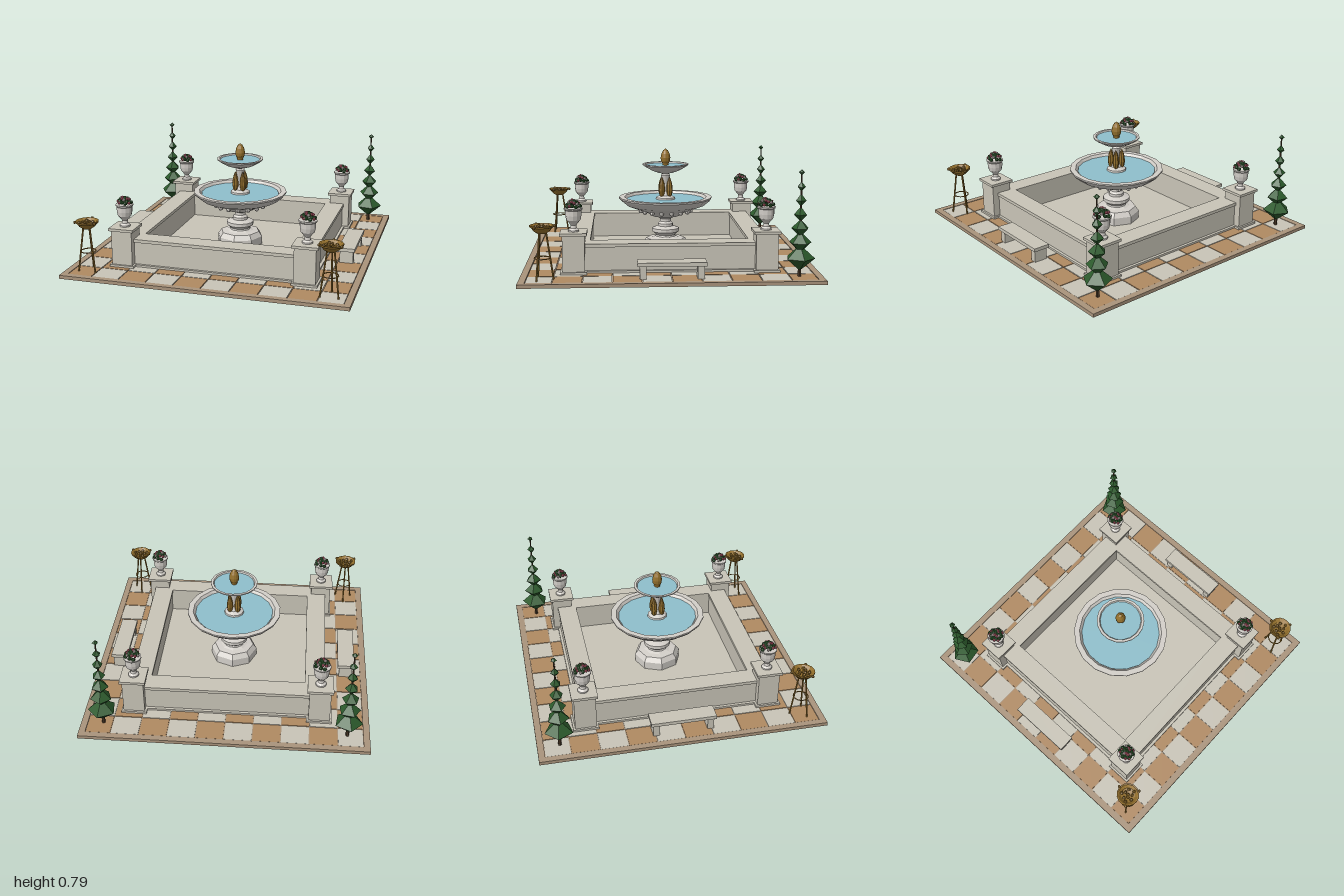
import * as THREE from 'three';

const mat = (name, color, extra = {}) => {
  const m = new THREE.MeshStandardMaterial({ color, flatShading: true, ...extra });
  m.name = name;
  return m;
};
const M = {
  stone: mat('stone', 0xc9c5b8),
  marble: mat('marble', 0xd3cfc9, { side: THREE.DoubleSide }),
  terracotta: mat('terracotta', 0xb08a62),
  border: mat('sandstone border', 0xaa947c),
  water: mat('water', 0x8fbfcc),
  bronze: mat('bronze', 0x94702c, { side: THREE.DoubleSide }),
  leaf: mat('foliage', 0x2c5a2c),
  pink: mat('pink petals', 0xc0566c),
  white: mat('white petals', 0xd9c4c4),
  bark: mat('bark', 0x4a3826),
};

function mesh(parent, name, geo, m, x = 0, y = 0, z = 0) {
  const o = new THREE.Mesh(geo, m);
  o.name = name;
  o.position.set(x, y, z);
  parent.add(o);
  return o;
}
// box given by its footprint and its bottom and top heights
const box = (p, name, m, w, d, y0, y1, x = 0, z = 0) =>
  mesh(p, name, new THREE.BoxGeometry(w, y1 - y0, d), m, x, (y0 + y1) / 2, z);
// turned shape from [radius, height] pairs
const turned = (p, name, m, pts, sides, x = 0, z = 0) =>
  mesh(p, name, new THREE.LatheGeometry(pts.map(a => new THREE.Vector2(...a)), sides), m, x, 0, z);
// square ring
function frame(p, name, m, outer, inner, y0, y1) {
  const s = new THREE.Shape(), h = new THREE.Path();
  s.moveTo(-outer, -outer).lineTo(outer, -outer).lineTo(outer, outer).lineTo(-outer, outer).closePath();
  h.moveTo(-inner, -inner).lineTo(-inner, inner).lineTo(inner, inner).lineTo(inner, -inner).closePath();
  s.holes.push(h);
  const g = new THREE.ExtrudeGeometry(s, { depth: y1 - y0, bevelEnabled: false });
  return mesh(p, name, g.rotateX(-Math.PI / 2), m, 0, y0, 0);
}
// thin rod between two points
function rod(p, name, m, a, b, r) {
  const d = b.clone().sub(a), c = a.clone().add(b).multiplyScalar(0.5);
  const o = mesh(p, name, new THREE.CylinderGeometry(r, r, d.length(), 6), m, c.x, c.y, c.z);
  o.quaternion.setFromUnitVectors(new THREE.Vector3(0, 1, 0), d.normalize());
}
function group(parent, name, x = 0, y = 0, z = 0) {
  const g = new THREE.Group();
  g.name = name;
  g.position.set(x, y, z);
  parent.add(g);
  return g;
}

function pavement(root) {
  const g = group(root, 'pavement');
  frame(g, 'pavementBorder', M.border, 1, 0.955, 0, 0.025);
  box(g, 'grout', M.border, 1.92, 1.92, 0.003, 0.018);
  const P = 0.195, edge = i => THREE.MathUtils.clamp((i - 5) * P, -0.955, 0.955);
  for (let i = 0; i < 10; i++) for (let j = 0; j < 10; j++) {
    const x0 = edge(i), x1 = edge(i + 1), z0 = edge(j), z1 = edge(j + 1);
    box(g, 'tile', (i + j) % 2 ? M.terracotta : M.stone, x1 - x0 - 0.006, z1 - z0 - 0.006,
      0, 0.023, (x0 + x1) / 2, (z0 + z1) / 2);
  }
}

function pool(root) {
  const g = group(root, 'pool');
  box(g, 'poolFloor', M.stone, 1.2, 1.2, 0.02, 0.032);
  frame(g, 'poolSkirt', M.stone, 0.695, 0.56, 0.02, 0.037);
  frame(g, 'poolWall', M.stone, 0.675, 0.55, 0.02, 0.198);
  frame(g, 'poolCoping', M.stone, 0.685, 0.543, 0.197, 0.22);
}

function fountain(root) {
  const g = group(root, 'fountain');
  turned(g, 'fountainBase', M.marble,
    [[0, 0.03], [0.17, 0.03], [0.17, 0.09], [0.145, 0.125], [0.1, 0.13], [0.075, 0.14]], 8);
  turned(g, 'lowerStem', M.marble, [[0.075, 0.135], [0.07, 0.15], [0.1, 0.175], [0.1, 0.2],
    [0.055, 0.215], [0.055, 0.235], [0.04, 0.25], [0.04, 0.27], [0.06, 0.285], [0.1, 0.295]], 16);
  turned(g, 'lowerBowl', M.marble, [[0, 0.29], [0.1, 0.292], [0.15, 0.325], [0.21, 0.345], [0.29, 0.375],
    [0.335, 0.412], [0.345, 0.425], [0.345, 0.435], [0.305, 0.435], [0.285, 0.405], [0, 0.4]], 18);
  mesh(g, 'lowerWater', new THREE.CylinderGeometry(0.288, 0.283, 0.008, 18), M.water, 0, 0.413, 0);
  // carved knobs below the lower bowl
  for (let i = 0; i < 16; i++) {
    const a = (i + 0.5) / 16 * Math.PI * 2;
    mesh(g, 'bowlKnob', new THREE.SphereGeometry(0.018, 8, 6), M.marble,
      0.187 * Math.sin(a), 0.333, 0.187 * Math.cos(a));
  }
  turned(g, 'upperStem', M.marble, [[0.075, 0.4], [0.07, 0.43], [0.04, 0.445], [0.028, 0.48], [0.022, 0.53],
    [0.03, 0.575], [0.034, 0.595], [0.025, 0.605], [0.05, 0.618]], 12);
  // four upright leaves round the stem
  for (let i = 0; i < 4; i++) {
    const a = Math.PI / 4 + i * Math.PI / 2;
    const leaf = turned(g, 'stemLeaf', M.bronze, [[0, 0.43], [0.018, 0.45], [0.024, 0.485],
      [0.02, 0.53], [0.01, 0.565], [0, 0.585]], 8);
    leaf.position.set(0.04 * Math.sin(a), 0, 0.04 * Math.cos(a));
  }
  turned(g, 'upperBowl', M.marble, [[0, 0.61], [0.05, 0.613], [0.1, 0.63], [0.145, 0.655], [0.17, 0.672],
    [0.17, 0.68], [0.152, 0.68], [0.143, 0.66], [0, 0.655]], 18);
  mesh(g, 'upperWater', new THREE.CylinderGeometry(0.146, 0.144, 0.006, 18), M.water, 0, 0.667, 0);
  turned(g, 'finial', M.bronze, [[0.02, 0.66], [0.024, 0.685], [0.033, 0.7], [0.036, 0.725],
    [0.03, 0.755], [0.017, 0.78], [0, 0.792]], 12);
}

function pedestal(root, x, z) {
  const g = group(root, 'pedestal', x, 0, z);
  box(g, 'pedestalFoot', M.stone, 0.178, 0.178, 0.02, 0.038);
  box(g, 'pedestalBody', M.stone, 0.15, 0.15, 0.037, 0.285);
  box(g, 'pedestalCap', M.stone, 0.18, 0.18, 0.283, 0.302);
  turned(g, 'urn', M.marble, [[0, 0.302], [0.037, 0.302], [0.037, 0.312], [0.022, 0.325], [0.019, 0.345],
    [0.03, 0.36], [0.048, 0.38], [0.054, 0.41], [0.055, 0.445], [0.063, 0.452], [0.063, 0.461],
    [0.05, 0.461], [0, 0.45]], 12);
  // mound of leaves and blossoms, spread by the golden angle
  const n = 30, tint = [M.leaf, M.pink, M.leaf, M.leaf, M.white, M.leaf, M.pink];
  for (let i = 0; i < n; i++) {
    const t = (i + 0.5) / n, a = i * 2.4, r = 0.05 * Math.sqrt(t), m = tint[i % 7];
    const o = mesh(g, m === M.leaf ? 'leaves' : 'blossom',
      new THREE.IcosahedronGeometry(m === M.leaf ? 0.015 : 0.0115, 0), m,
      r * Math.cos(a), 0.468 + 0.038 * (1 - t) + (m === M.leaf ? 0 : 0.008), r * Math.sin(a));
    o.rotation.set(i, i * 2, 0);
  }
}

function bench(root, side) {
  const g = group(root, 'bench', side * 0.843, 0, 0);
  box(g, 'benchSeat', M.stone, 0.12, 0.455, 0.11, 0.135);
  for (const s of [-1, 1]) {
    box(g, 'benchLeg', M.stone, 0.095, 0.045, 0.02, 0.112, 0, s * 0.19);
  }
}

function cypress(root, x, turn) {
  const g = group(root, 'cypress', x, 0, -0.845);
  g.rotation.y = turn;
  mesh(g, 'trunk', new THREE.CylinderGeometry(0.005, 0.013, 0.7, 6), M.bark, 0, 0.35, 0);
  // [widest height, radius, drop below, rise above]
  const tiers = [[0.145, 0.1, 0.085, 0.09], [0.25, 0.076, 0.07, 0.075], [0.345, 0.06, 0.06, 0.06],
    [0.438, 0.046, 0.047, 0.05], [0.53, 0.036, 0.04, 0.045], [0.62, 0.029, 0.03, 0.035],
    [0.715, 0.021, 0.02, 0.02]];
  tiers.forEach(([y, r, d, u], i) => {
    const t = turned(g, 'foliageTier', M.leaf, [[0, y - d], [r, y], [0, y + u]], 5);
    t.rotation.y = i * 0.25;
  });
}

function brazier(root, x) {
  const g = group(root, 'brazier', x, 0, 0.845);
  turned(g, 'brazierBowl', M.bronze, [[0, 0.325], [0.03, 0.328], [0.055, 0.345], [0.072, 0.368], [0.08, 0.372],
    [0.08, 0.382], [0.07, 0.38], [0.05, 0.36], [0, 0.35]], 14);
  const ring = mesh(g, 'brazierRing', new THREE.TorusGeometry(0.052, 0.004, 5, 14), M.bronze, 0, 0.165, 0);
  ring.rotation.x = Math.PI / 2;
  for (let i = 0; i < 3; i++) {
    const a = Math.PI + i * Math.PI * 2 / 3, s = Math.sin(a), c = Math.cos(a);
    rod(g, 'brazierLeg', M.bronze, new THREE.Vector3(0.074 * s, 0.003, 0.074 * c),
      new THREE.Vector3(0.027 * s, 0.34, 0.027 * c), 0.006);
    mesh(g, 'rimKnob', new THREE.SphereGeometry(0.011, 7, 5), M.bronze, 0.083 * s, 0.377, 0.083 * c);
  }
  // embers heaped in the bowl
  for (let i = 0; i < 10; i++) {
    const a = i * 2.4, r = 0.017 * Math.sqrt(i);
    const o = mesh(g, 'ember', new THREE.DodecahedronGeometry(0.012, 0), M.bronze,
      r * Math.cos(a), 0.37, r * Math.sin(a));
    o.rotation.set(i, i, 0);
  }
}

export function createModel() {
  const root = new THREE.Group();
  root.name = 'fountainCourt';
  pavement(root);
  pool(root);
  fountain(root);
  for (const s of [-1, 1]) {
    for (const z of [-0.65, 0.65]) pedestal(root, s * 0.65, z);
    bench(root, s);
    cypress(root, s * 0.845, s * 0.45);
    brazier(root, s * 0.845);
  }
  return root;
}
